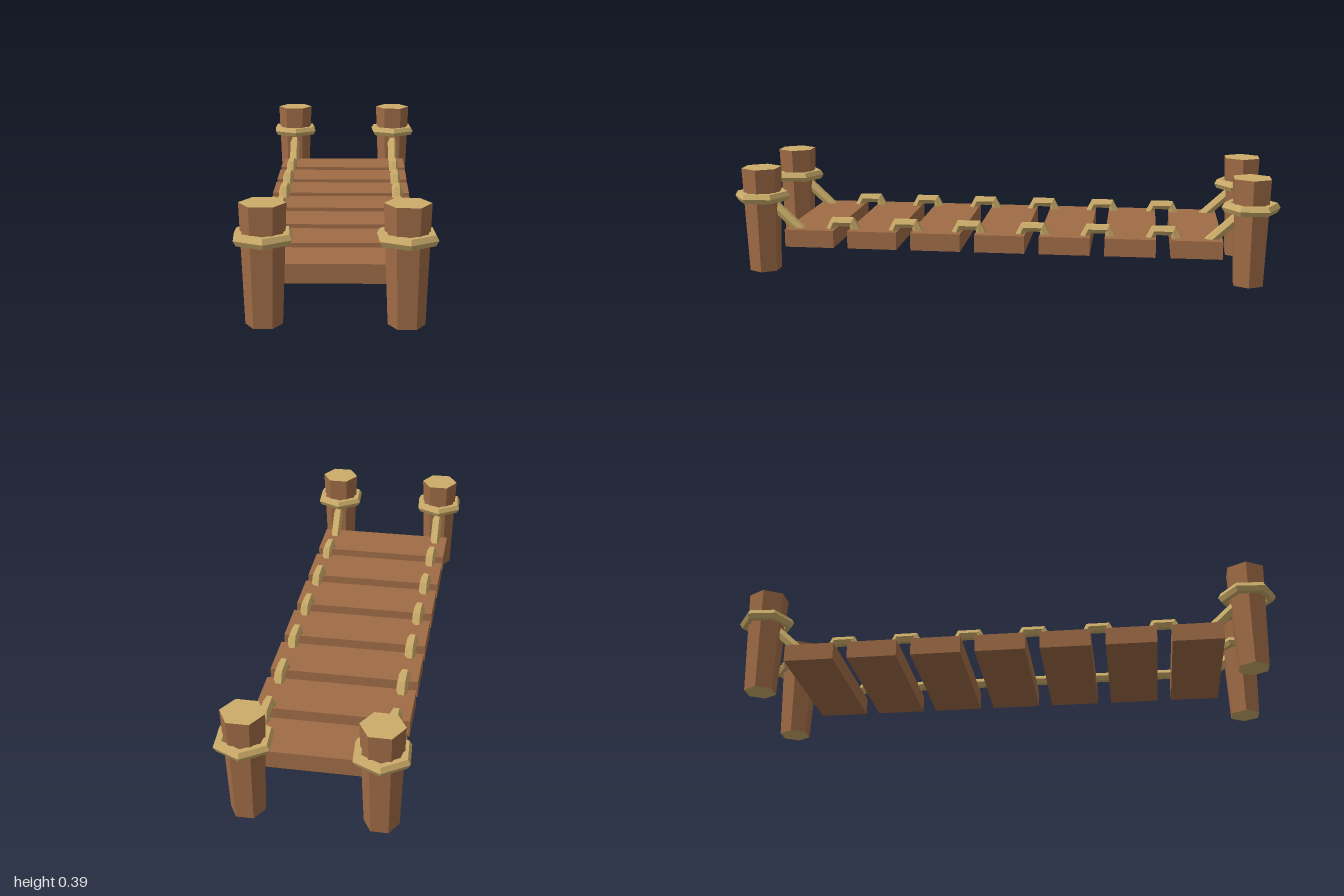
import * as THREE from 'three';

// Polyline in the yz plane, one tube segment per leg, mitred at the corners
class RopePath extends THREE.Curve {
  constructor(points) {
    super();
    this.points = points.map(([y, z]) => new THREE.Vector3(0, y, z));
  }
  getPoint(t, target = new THREE.Vector3()) {
    const s = t * (this.points.length - 1);
    const i = Math.min(Math.floor(s + 1e-9), this.points.length - 2);
    return target.lerpVectors(this.points[i], this.points[i + 1], s - i);
  }
  getPointAt(u, target) { return this.getPoint(u, target); }
  getTangentAt(u, target) { return this.getTangent(u, target); }
}

export function createModel() {
  const group = new THREE.Group();
  const wood = new THREE.MeshStandardMaterial({ color: 0xa06c46, flatShading: true });
  wood.name = 'brown wood';
  const rope = new THREE.MeshStandardMaterial({ color: 0xcbac69, flatShading: true });
  rope.name = 'tan rope';

  const add = (name, geometry, material, x, y, z) => {
    const mesh = new THREE.Mesh(geometry, material);
    mesh.name = name;
    mesh.position.set(x, y, z);
    group.add(mesh);
    return mesh;
  };
  const ropeTube = (points) =>
    new THREE.TubeGeometry(new RopePath(points), points.length - 1, 0.02, 6, false);

  const sideX = 0.222, postZ = 0.897;
  const pitch = 0.2367, deckTop = 0.165, deckHeight = 0.065;

  // Tapered hexagonal posts with pale cut ends
  const postGeo = new THREE.CylinderGeometry(0.074, 0.059, 0.39, 6).rotateY(Math.PI / 6);
  // Rope collar around each post
  const collarGeo = new THREE.TorusGeometry(0.084, 0.02, 6, 6)
    .rotateX(Math.PI / 2).rotateY(-Math.PI / 2 + 0.07);
  // Sloping rope from collar to the end plank
  const tieGeo = ropeTube([[0.27, 0.876], [0.14, 0.738]]);
  // Arched rope bridging two planks
  const archGeo = ropeTube([[0.148, -0.052], [0.19, -0.034], [0.19, 0.034], [0.148, 0.052]]);

  for (const x of [-sideX, sideX]) {
    for (const end of [1, -1]) {
      add('post', postGeo, [wood, rope, rope], x, 0.195, end * postZ);
      add('postCollar', collarGeo, rope, x, 0.283, end * postZ);
      const tie = add('postRope', tieGeo, rope, x, 0, 0);
      if (end < 0) tie.rotation.y = Math.PI;
    }
    for (let i = 0; i < 6; i++) add('ropeLoop', archGeo, rope, x, 0, (i - 2.5) * pitch);
  }

  // Deck planks
  const plankGeo = new THREE.BoxGeometry(0.542, deckHeight, 0.184);
  for (let i = -3; i <= 3; i++) {
    add('plank', plankGeo, wood, 0, deckTop - deckHeight / 2, i * pitch);
  }
  return group;
}
